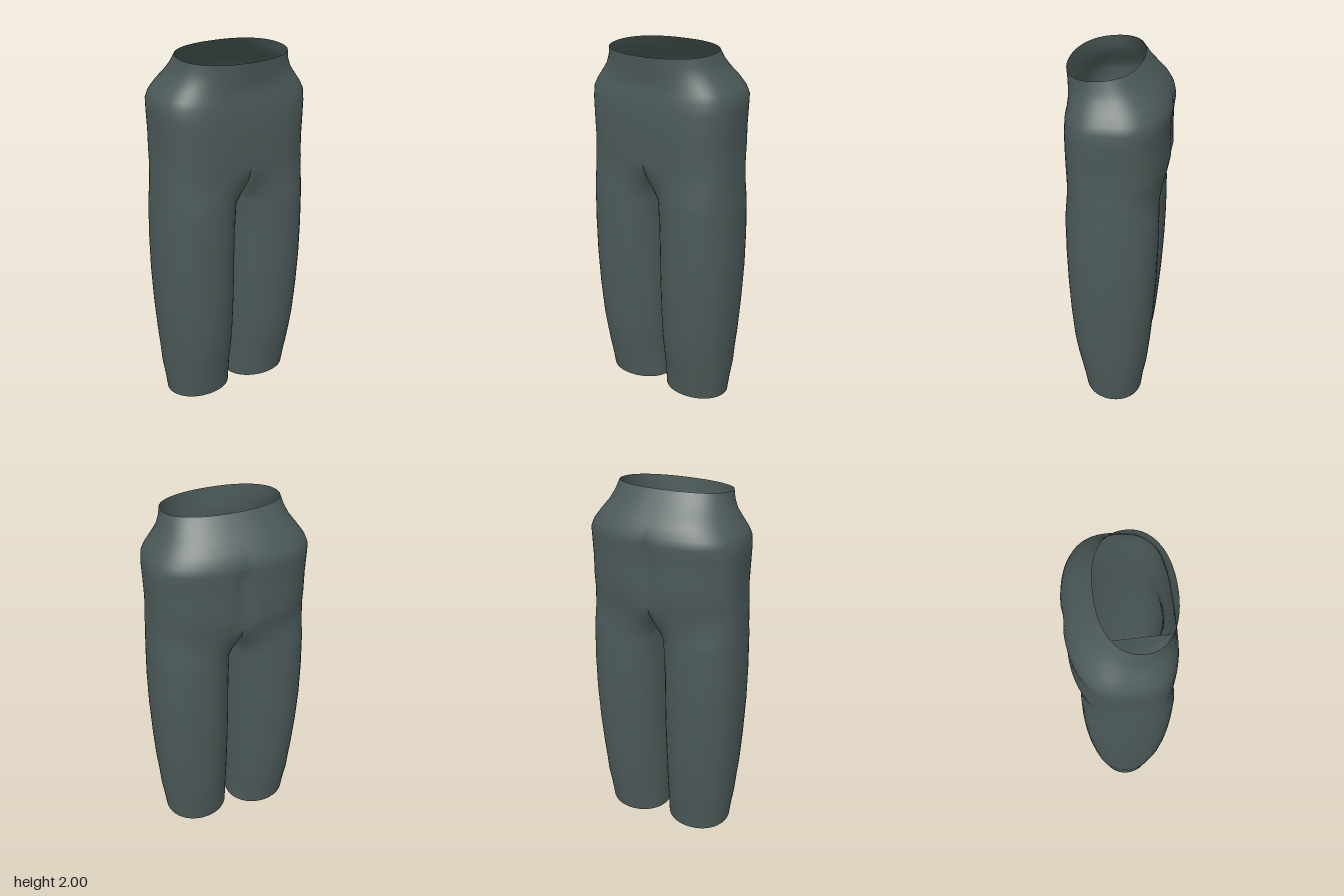
import * as THREE from 'three';
import { mergeVertices } from 'three/addons/utils/BufferGeometryUtils.js';

const CROTCH = 1.42;
const OUTER = 40; // steps round the outside of one half
const INNER = 14; // steps along the inside of one leg

// Outline rows: height, half width, front z, back z
const ROWS = [
  [2.0, 0.305, 0.265, -0.115], [1.95, 0.317, 0.26, -0.15], [1.9, 0.337, 0.254, -0.193],
  [1.85, 0.37, 0.25, -0.234], [1.8, 0.402, 0.252, -0.26], [1.76, 0.418, 0.26, -0.268],
  [1.7, 0.42, 0.266, -0.261], [1.6, 0.416, 0.268, -0.26], [1.5, 0.414, 0.267, -0.265],
  [1.42, 0.417, 0.264, -0.25], [1.39, 0.42, 0.263, -0.243], [1.35, 0.422, 0.263, -0.237],
  [1.3, 0.424, 0.264, -0.231], [1.25, 0.427, 0.265, -0.227], [1.2, 0.43, 0.265, -0.226],
  [1.0, 0.435, 0.263, -0.225], [0.8, 0.434, 0.259, -0.22], [0.6, 0.427, 0.251, -0.21],
  [0.4, 0.416, 0.238, -0.195], [0.3, 0.407, 0.225, -0.186], [0.2, 0.401, 0.206, -0.175],
  [0.1, 0.388, 0.192, -0.157], [0, 0.377, 0.18, -0.145],
];

const { lerp, smoothstep } = THREE.MathUtils;

// Point on a rounded-box oval of exponent n
function oval(angle, cx, rx, cz, rz, n) {
  const c = Math.cos(angle), s = Math.sin(angle);
  const r = Math.pow(Math.abs(c) ** n + Math.abs(s) ** n, -1 / n);
  return [cx + rx * r * c, cz + rz * r * s];
}

// Half section of the hips, u from centre front (0) to centre back (1)
function hipPoint(u, [y, a, f, b]) {
  const angle = Math.PI * (0.5 - u);
  const full = 1 - smoothstep(y, 1.75, 2);
  const n = u < 0.5 ? lerp(2.2, 3.2, full) : lerp(2.3, 2.5, full);
  const p = oval(angle, 0, a, (f + b) / 2, (f - b) / 2, n);
  if (u === 0 || u === 1) p[0] = 0;
  // seat cleft
  if (u > 0.5) {
    const depth = smoothstep(y, 1.38, 1.5) * (1 - smoothstep(y, 1.7, 1.82));
    p[1] += 0.022 * depth * Math.exp(-((p[0] / 0.04) ** 2));
  }
  return p;
}

// Closed section of a leg
function legPoint(angle, [y, a, f, b]) {
  const gap = lerp(0.011, 0.004, smoothstep(y, 0, 0.5));
  const n = lerp(2.05, 2.3, smoothstep(y, 0, 0.8));
  return oval(angle, (a + gap) / 2, (a - gap) / 2, (f + b) / 2, (f - b) / 2, n);
}

function sectionPoint(i, row) {
  const [y, , f, b] = row;
  const split = 1 - smoothstep(y, 1.15, CROTCH); // 0 at the hips, 1 on a free leg
  const spread = Math.PI * 0.8;
  let hip, angle;
  if (i <= OUTER) {
    const u = i / OUTER;
    hip = hipPoint(u, row);
    angle = spread * (1 - 2 * u);
  } else {
    const v = (i - OUTER) / INNER;
    hip = [0, lerp(hipPoint(1, row)[1], f, v)];
    angle = -spread - 2 * (Math.PI - spread) * v;
  }
  const leg = legPoint(angle, row);
  const x = lerp(hip[0], leg[0], split), z = lerp(hip[1], leg[1], split);
  // waist dips and hem rises towards the front
  const t = (z - b) / (f - b);
  const tilt = -0.035 * t * smoothstep(y, 1.75, 2) + 0.03 * t * (1 - smoothstep(y, 0, 0.2));
  return [x, y + tilt, z];
}

function trouserGeometry() {
  const positions = [], index = [];
  const quadStrip = (rows, count, side) => {
    const start = positions.length / 3;
    for (const row of rows) {
      for (let i = 0; i <= count; i++) {
        const [x, y, z] = sectionPoint(i, row);
        positions.push(side * x, y, z);
      }
    }
    for (let r = 0; r < rows.length - 1; r++) {
      for (let i = 0; i < count; i++) {
        const p = start + r * (count + 1) + i, q = p + count + 1;
        if (side > 0) index.push(p, q, p + 1, p + 1, q, q + 1);
        else index.push(p, p + 1, q, p + 1, q + 1, q);
      }
    }
  };
  for (const side of [1, -1]) {
    quadStrip(ROWS.filter((r) => r[0] >= CROTCH), OUTER, side); // hips
    quadStrip(ROWS.filter((r) => r[0] <= CROTCH), OUTER + INNER, side); // leg
  }
  const geometry = new THREE.BufferGeometry();
  geometry.setAttribute('position', new THREE.Float32BufferAttribute(positions, 3));
  geometry.setIndex(index);
  const welded = mergeVertices(geometry, 1e-4);
  welded.computeVertexNormals();
  return welded;
}

export function createModel() {
  const model = new THREE.Group();
  model.name = 'trousers';
  const cloth = new THREE.MeshStandardMaterial({ color: 0x4c5a59, side: THREE.DoubleSide });
  cloth.name = 'dark grey green cloth';
  const mesh = new THREE.Mesh(trouserGeometry(), cloth);
  mesh.name = 'hipsAndLegs';
  model.add(mesh);
  return model;
}
